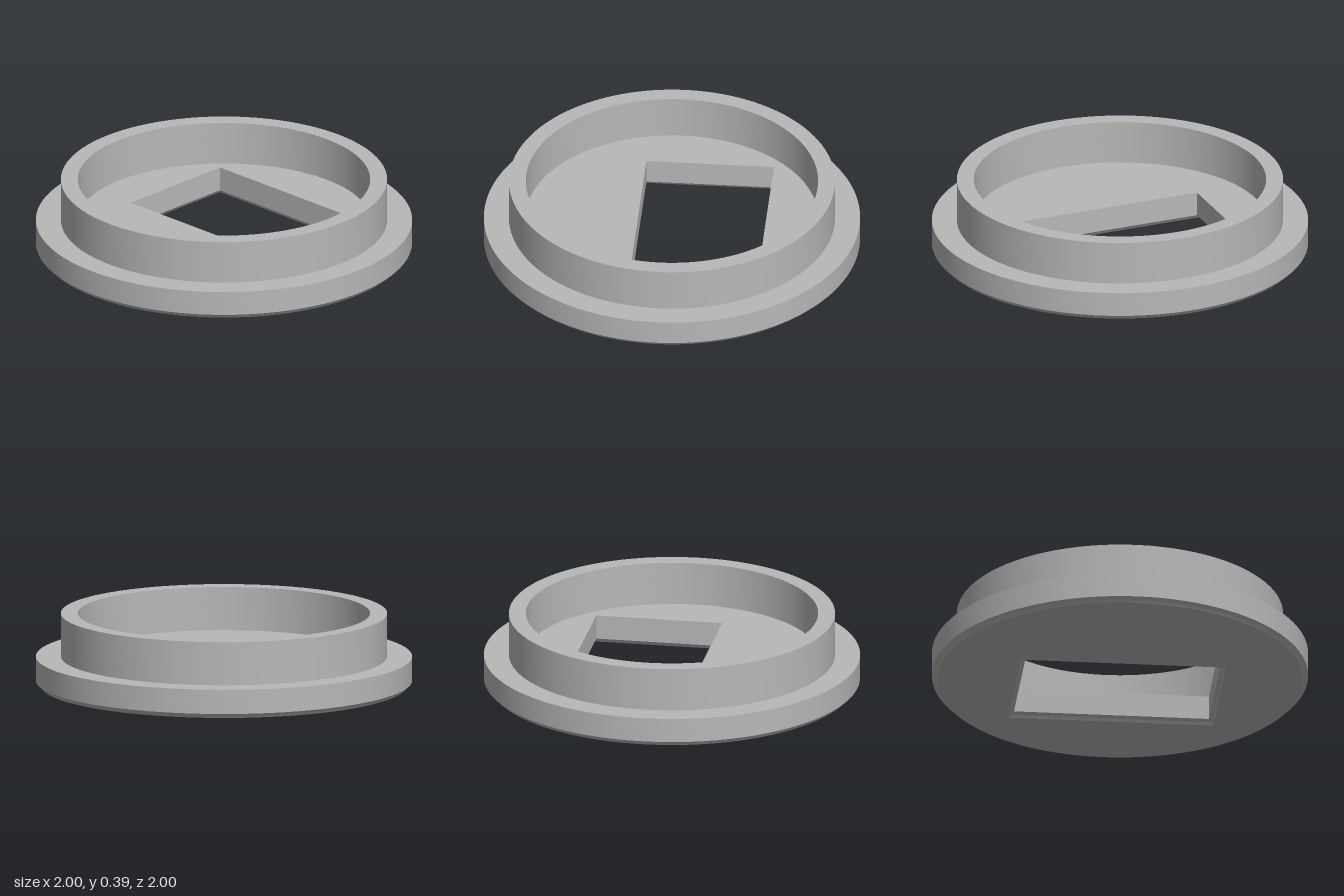
import * as THREE from 'three';
import { toCreasedNormals } from 'three/addons/utils/BufferGeometryUtils.js';

const SEGMENTS = 128;
const FLANGE_TOP = 0.157;
const RIM_TOP = 0.39;
// Small edge break on the underside: [height, inset], from the bottom up
const EDGE = [[0, 0.026], [0.014, 0.016], [0.026, 0]];
const HOLE = { x0: -0.52, x1: 0.52, z0: -0.5, z1: 0.18 };

function lathe(points) {
  const profile = points.map(([r, y]) => new THREE.Vector2(r, y));
  return toCreasedNormals(new THREE.LatheGeometry(profile, SEGMENTS), 0.4);
}

// Corners of the window, grown outward by a margin
function holeCorners(grow) {
  const { x0, x1, z0, z1 } = HOLE;
  return [
    [x0 - grow, z0 - grow], [x1 + grow, z0 - grow],
    [x1 + grow, z1 + grow], [x0 - grow, z1 + grow],
  ];
}

// Flat disc with the window cut out, facing up (side = 1) or down (side = -1)
function disc(radius, grow, y, side) {
  const shape = new THREE.Shape().absarc(0, 0, radius, 0, Math.PI * 2, false);
  const corners = holeCorners(grow).map(([x, z]) => new THREE.Vector2(x, -side * z));
  shape.holes.push(new THREE.Path(corners));
  const geometry = new THREE.ShapeGeometry(shape, SEGMENTS);
  geometry.rotateX(-side * Math.PI / 2);
  geometry.translate(0, y, 0);
  return geometry;
}

// Inward-facing walls of the window, flaring out at the underside
function holeWalls() {
  const levels = [...EDGE, [FLANGE_TOP, 0]];
  const positions = [];
  for (let l = 0; l < levels.length - 1; l++) {
    const [y0, g0] = levels[l];
    const [y1, g1] = levels[l + 1];
    const low = holeCorners(g0).map(([x, z]) => [x, y0, z]);
    const high = holeCorners(g1).map(([x, z]) => [x, y1, z]);
    for (let i = 0; i < 4; i++) {
      const j = (i + 1) % 4;
      positions.push(...low[i], ...low[j], ...high[j], ...low[i], ...high[j], ...high[i]);
    }
  }
  const geometry = new THREE.BufferGeometry();
  geometry.setAttribute('position', new THREE.Float32BufferAttribute(positions, 3));
  geometry.computeVertexNormals();
  return geometry;
}

export function createModel() {
  const model = new THREE.Group();
  model.name = 'flangedCap';
  const grey = new THREE.MeshStandardMaterial({ color: 0xb8b8b8 });
  grey.name = 'grey plastic';

  const add = (name, geometry) => {
    const mesh = new THREE.Mesh(geometry, grey);
    mesh.name = name;
    model.add(mesh);
  };

  // Base plate with rectangular window
  add('flangeEdge', lathe([...EDGE.map(([y, inset]) => [1 - inset, y]), [1, FLANGE_TOP]]));
  add('plateTop', disc(1, 0, FLANGE_TOP, 1));
  add('plateBottom', disc(1 - EDGE[0][1], EDGE[0][1], 0, -1));
  add('windowWalls', holeWalls());

  // Raised ring standing on the plate
  add('raisedRing', lathe([
    [0.867, FLANGE_TOP], [0.867, RIM_TOP], [0.777, RIM_TOP], [0.777, FLANGE_TOP],
  ]));

  return model;
}
